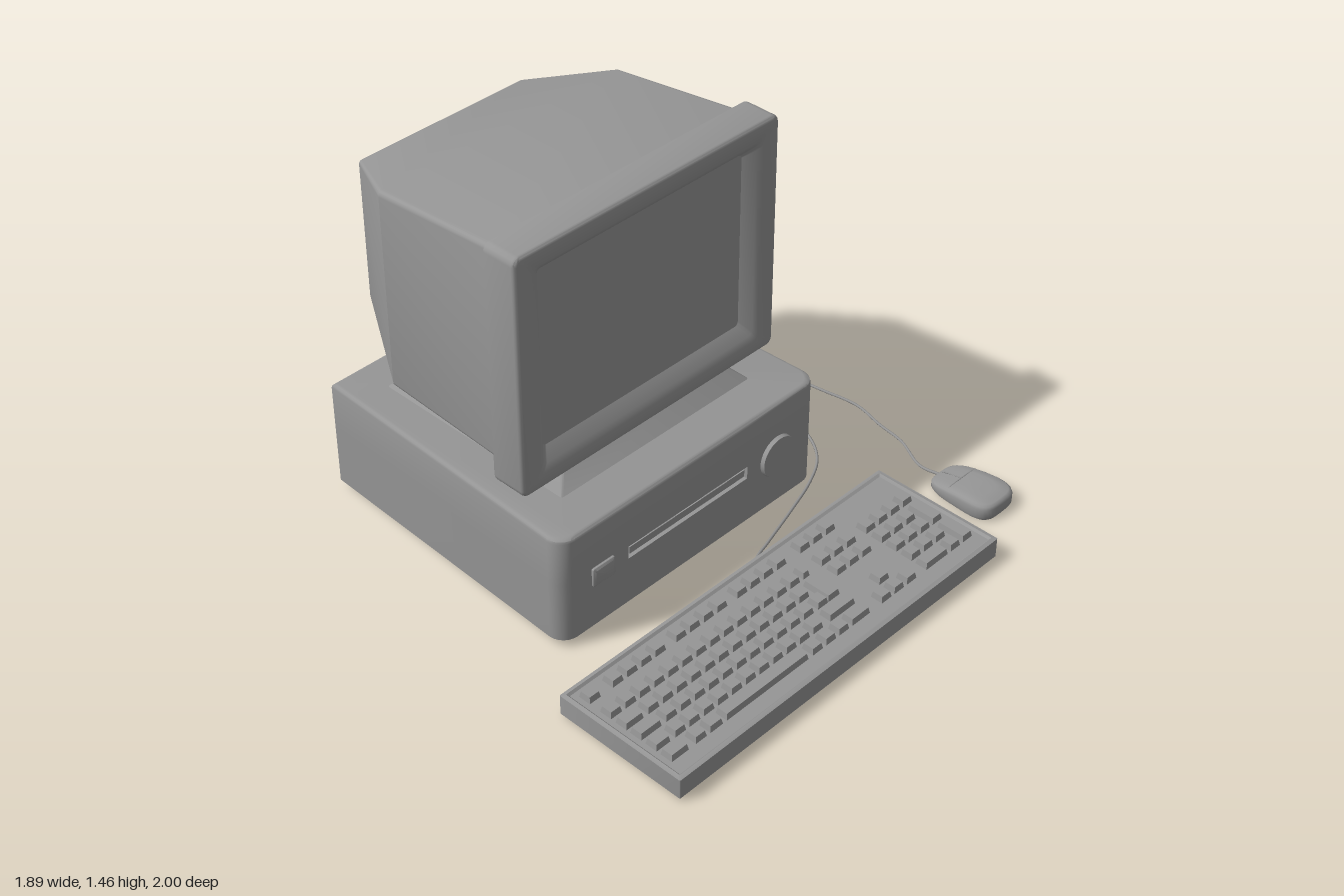
import * as THREE from 'three';
import { toCreasedNormals } from 'three/addons/utils/BufferGeometryUtils.js';

const plastic = new THREE.MeshStandardMaterial({ color: 0x969696 });

function add(parent, name, geometry) {
  const mesh = new THREE.Mesh(geometry, plastic);
  mesh.name = name;
  parent.add(mesh);
  return mesh;
}

// Skin over outlines with equal point counts, capped at both ends.
function skin(outlines, crease = 0.6) {
  const n = outlines[0].length, last = (outlines.length - 1) * n, index = [];
  for (let k = 0; k < last; k += n) {
    for (let i = 0; i < n; i++) {
      const a = k + i, b = k + (i + 1) % n;
      index.push(a, b, b + n, a, b + n, a + n);
    }
  }
  for (let i = 1; i < n - 1; i++) {
    index.push(0, i + 1, i, last, last + i, last + i + 1);
  }
  const g = new THREE.BufferGeometry();
  g.setAttribute('position', new THREE.Float32BufferAttribute(outlines.flat(2), 3));
  g.setIndex(index);
  return toCreasedNormals(g, crease);
}

// Rounded rectangle at depth z, counter-clockwise.
function roundedOutline([x0, x1, y0, y1, z, r]) {
  const corners = [[x1 - r, y0 + r, -0.5], [x1 - r, y1 - r, 0], [x0 + r, y1 - r, 0.5], [x0 + r, y0 + r, 1]];
  return corners.flatMap(([cx, cy, start]) => [0, 1, 2, 3, 4].map((i) => {
    const a = (start + i / 8) * Math.PI;
    return [cx + r * Math.cos(a), cy + r * Math.sin(a), z];
  }));
}

const loft = (rings, crease) => skin(rings.map(roundedOutline), crease);

// Same skin, stacked upward: [x0, x1, z0, z1, y, radius].
const loftUp = (rings) =>
  loft(rings.map(([x0, x1, z0, z1, y, r]) => [x0, x1, -z1, -z0, y, r])).rotateX(-Math.PI / 2);

function makeMonitor() {
  const g = new THREE.Group();
  g.name = 'monitor';
  // Bezel rounds over the front edge, then slopes softly down to the screen
  const edge = (inset, z) => [-0.714 + inset, 0.478 - inset, 0.528 + inset, 1.458 - inset, z, 0.03 - inset];
  add(g, 'bezelAndScreen', loft([
    edge(0.008, -0.06), edge(0.002, -0.057), edge(0, -0.05),
    edge(0, 0.066), edge(0.002, 0.073), edge(0.007, 0.078), edge(0.014, 0.08),
    [-0.635, 0.4, 0.585, 1.392, 0.08, 0.025],
    [-0.615, 0.38, 0.61, 1.375, 0.07, 0.02],
    [-0.58, 0.345, 0.65, 1.34, 0.035, 0.015],
  ]));
  add(g, 'backShell', loft([
    [-0.49, 0.255, 0.72, 1.275, -0.915, 0.012],
    [-0.66, 0.43, 0.59, 1.37, -0.61, 0.02],
    [-0.68, 0.45, 0.585, 1.43, -0.05, 0.02],
  ], 0.42));
  // Swivel and pedestal
  [[0.255, 0.56, 0.6], [0.215, 0.53, 0.57]].forEach(([r, y0, y1], i) => {
    const disc = add(g, i ? 'swivelNeck' : 'swivelPlate', new THREE.CylinderGeometry(r, r, y1 - y0, 40));
    disc.position.set(-0.117, (y0 + y1) / 2, -0.335);
  });
  add(g, 'pedestal', loftUp([
    [-0.57, 0.34, -0.77, 0.105, 0.455, 0.01],
    [-0.49, 0.255, -0.66, 0.03, 0.535, 0.01],
  ]));
  return g;
}

// Plan of the case at height y; a slot depth pushes in the middle of the front.
function caseOutline(y, inset, slot = 0) {
  const front = -0.27 + inset, back = 0.915 - inset, w = 0.622 - inset, wBack = 0.578 - inset, r = 0.065;
  const corner = (side) => [0, 1, 2, 3, 4, 5, 6].map((i) => {
    const a = i / 12 * Math.PI;
    return [side * (w - r + r * Math.cos(a)), front + r - r * Math.sin(a), y];
  });
  const plan = [
    [-wBack, back, y], ...corner(-1),
    [-0.317, front, y], [-0.317, front + slot, y], [0.263, front + slot, y], [0.263, front, y],
    ...corner(1).reverse(), [wBack, back, y],
  ];
  return plan.map(([x, d, h]) => [x - 0.113, d, h]);
}

function makeCase() {
  const g = new THREE.Group();
  g.name = 'computerCase';
  // Body with the disk slot sunk into its front and a rounded top edge
  add(g, 'caseBody', skin([
    caseOutline(0.03, 0),
    caseOutline(0.218, 0), caseOutline(0.218, 0, 0.03),
    caseOutline(0.27, 0, 0.03), caseOutline(0.27, 0),
    caseOutline(0.443, 0), caseOutline(0.452, 0.002), caseOutline(0.458, 0.008), caseOutline(0.46, 0.017),
  ]).rotateX(-Math.PI / 2));
  add(g, 'diskSlotDoor', new THREE.BoxGeometry(0.56, 0.028, 0.03)).position.set(-0.14, 0.244, 0.25);

  add(g, 'powerButton', loft([
    [-0.6, -0.5, 0.205, 0.28, 0.26, 0.005],
    [-0.6, -0.5, 0.205, 0.28, 0.278, 0.005],
    [-0.592, -0.508, 0.213, 0.272, 0.284, 0.005],
  ]));
  const badge = add(g, 'roundBadge', new THREE.CylinderGeometry(0.08, 0.084, 0.025, 36));
  badge.rotation.x = Math.PI / 2;
  badge.position.set(0.3, 0.235, 0.273);
  return g;
}

function makeKeyboard() {
  const g = new THREE.Group();
  g.name = 'keyboard';
  add(g, 'keyboardBody', loftUp([
    [-0.945, 0.625, 0.47, 1, 0.012, 0.004],
    [-0.945, 0.625, 0.47, 1, 0.09, 0.004],
    [-0.93, 0.61, 0.485, 0.985, 0.094, 0.004],
    [-0.922, 0.602, 0.493, 0.977, 0.086, 0.004],
  ]));
  const rowZ = [0.54, 0.635, 0.704, 0.768, 0.835, 0.9];
  const pitch = 0.065, size = 0.052;
  // Key spans x0..x1 and is narrower at its top
  const key = (x0, x1, z, depth = size) => {
    const box = new THREE.BoxGeometry(x1 - x0, 0.03, depth);
    const p = box.attributes.position;
    for (let i = 0; i < p.count; i++) {
      if (p.getY(i) > 0) p.setXYZ(i, p.getX(i) - Math.sign(p.getX(i)) * 0.006, p.getY(i), p.getZ(i) - Math.sign(p.getZ(i)) * 0.006);
    }
    box.computeVertexNormals();
    add(g, 'key', box).position.set((x0 + x1) / 2, 0.094, z);
  };
  const run = (x, count, z) => {
    for (let i = 0; i < count; i++) key(x + i * pitch, x + i * pitch + size, z);
  };
  // Function row
  run(-0.904, 1, rowZ[0]);
  [-0.801, -0.509, -0.216].forEach((x) => run(x, 4, rowZ[0]));
  // Main block: [left key end, first small key, count, right key start, right key end]
  [
    [-0.852, -0.839, 13, 0.007, 0.041],
    [-0.825, -0.806, 12, -0.018, 0.041],
    [-0.81, -0.791, 11, -0.07, -0.018],
    [-0.84, -0.821, 11, -0.085, 0.041],
  ].forEach(([end, x, count, right, rightEnd], i) => {
    const z = rowZ[i + 1];
    key(-0.904, end, z);
    run(x, right < x + count * pitch - 0.02 ? count - 1 : count, z);
    // The second row's right key reaches down one row
    if (i === 1) key(right, rightEnd, 0.736, 0.116);
    else key(right, rightEnd, z);
  });
  // Space bar row
  key(-0.904, -0.825, rowZ[5]);
  run(-0.796, 1, rowZ[5]);
  key(-0.73, -0.67, rowZ[5]);
  key(-0.655, -0.265, rowZ[5]);
  run(-0.246, 3, rowZ[5]);
  key(-0.05, 0.041, rowZ[5]);
  // Navigation and arrow keys
  [0, 1, 2, 5].forEach((r) => run(0.1, 3, rowZ[r]));
  run(0.165, 1, rowZ[4]);
  // Number pad
  run(0.333, 4, rowZ[1]);
  [2, 3, 4].forEach((r) => run(0.333, 3, rowZ[r]));
  key(0.333, 0.449, rowZ[5]);
  run(0.463, 1, rowZ[5]);
  key(0.528, 0.58, 0.736, 0.116);
  key(0.528, 0.58, 0.868, 0.116);
  return g;
}

function makeMouse() {
  const g = new THREE.Group();
  g.name = 'mouse';
  const topAt = (z) => 0.071 - 0.035 * Math.pow(Math.max(0, (0.35 - z) / 1.35), 1.5);
  // Unit dome squared off, narrowed and sloped down toward the buttons
  const profile = [[0, 0], [0.95, 0], [1, 0.2], [1, 0.7], [0.97, 0.86], [0.9, 0.94], [0.6, 0.985], [0.3, 0.995], [0, 1]];
  const body = new THREE.LatheGeometry(profile.map((p) => new THREE.Vector2(...p)), 40);
  const p = body.attributes.position;
  const square = (c, r) => Math.sign(c) * Math.pow(Math.abs(c) / (r || 1), 0.55) * r;
  for (let i = 0; i < p.count; i++) {
    const r = Math.hypot(p.getX(i), p.getZ(i));
    const x = square(p.getX(i), r), z = square(p.getZ(i), r);
    p.setXYZ(i, 0.825 + x * (0.09 + 0.009 * z), 0.004 + p.getY(i) * (topAt(z) - 0.004), 0.729 + z * 0.143);
  }
  add(g, 'mouseBody', toCreasedNormals(body, 0.8));
  // Seams round the two buttons
  const seam = (points) => add(g, 'buttonSeam', new THREE.TubeGeometry(
    new THREE.CatmullRomCurve3(points.map((v) => new THREE.Vector3(...v))), 16, 0.0025, 5));
  seam([[0.74, 0.04, 0.685], [0.752, 0.054, 0.685], [0.785, 0.058, 0.685], [0.825, 0.059, 0.685], [0.865, 0.058, 0.685], [0.898, 0.054, 0.685], [0.91, 0.04, 0.685]]);
  seam([[0.825, 0.059, 0.685], [0.825, 0.049, 0.64], [0.825, 0.039, 0.602], [0.825, 0.025, 0.587]]);
  return g;
}

// Cable through [x, z] points on the ground, with raised heights at its ends.
function makeCable(parent, name, path, startY, endY) {
  const points = path.map(([x, z], i) => {
    const left = path.length - 1 - i;
    return new THREE.Vector3(x, startY[i] ?? endY[left] ?? 0.007, z);
  });
  add(parent, name, new THREE.TubeGeometry(new THREE.CatmullRomCurve3(points), 140, 0.0055, 6));
}

export function createModel() {
  const model = new THREE.Group();
  model.name = 'desktopComputer';
  model.add(makeMonitor(), makeCase(), makeKeyboard(), makeMouse());
  makeCable(model, 'keyboardCable', [
    [0, 0.48], [0.04, 0.42], [0.14, 0.385], [0.32, 0.33], [0.48, 0.275], [0.59, 0.215], [0.655, 0.14],
    [0.7, 0.03], [0.71, -0.1], [0.725, -0.24], [0.745, -0.37], [0.745, -0.5], [0.767, -0.66],
    [0.767, -0.79], [0.73, -0.87], [0.675, -0.925], [0.53, -0.95], [0.3, -0.975], [0.03, -0.98],
    [-0.085, -0.957], [-0.145, -0.905],
  ], [0.04, 0.012], [0.08, 0.075, 0.04]);
  makeCable(model, 'mouseCable', [
    [0.822, 0.6], [0.825, 0.5], [0.89, 0.36], [0.91, 0.24], [0.94, 0.105], [0.92, -0.05], [0.895, -0.21],
    [0.862, -0.42], [0.845, -0.5], [0.79, -0.555], [0.72, -0.66], [0.655, -0.77], [0.625, -0.845],
    [0.56, -0.915], [0.4, -0.955], [0.24, -0.975], [0.06, -0.995], [-0.075, -0.97], [-0.185, -0.905],
  ], [0.025, 0.01], [0.08, 0.075, 0.03]);
  return model;
}
